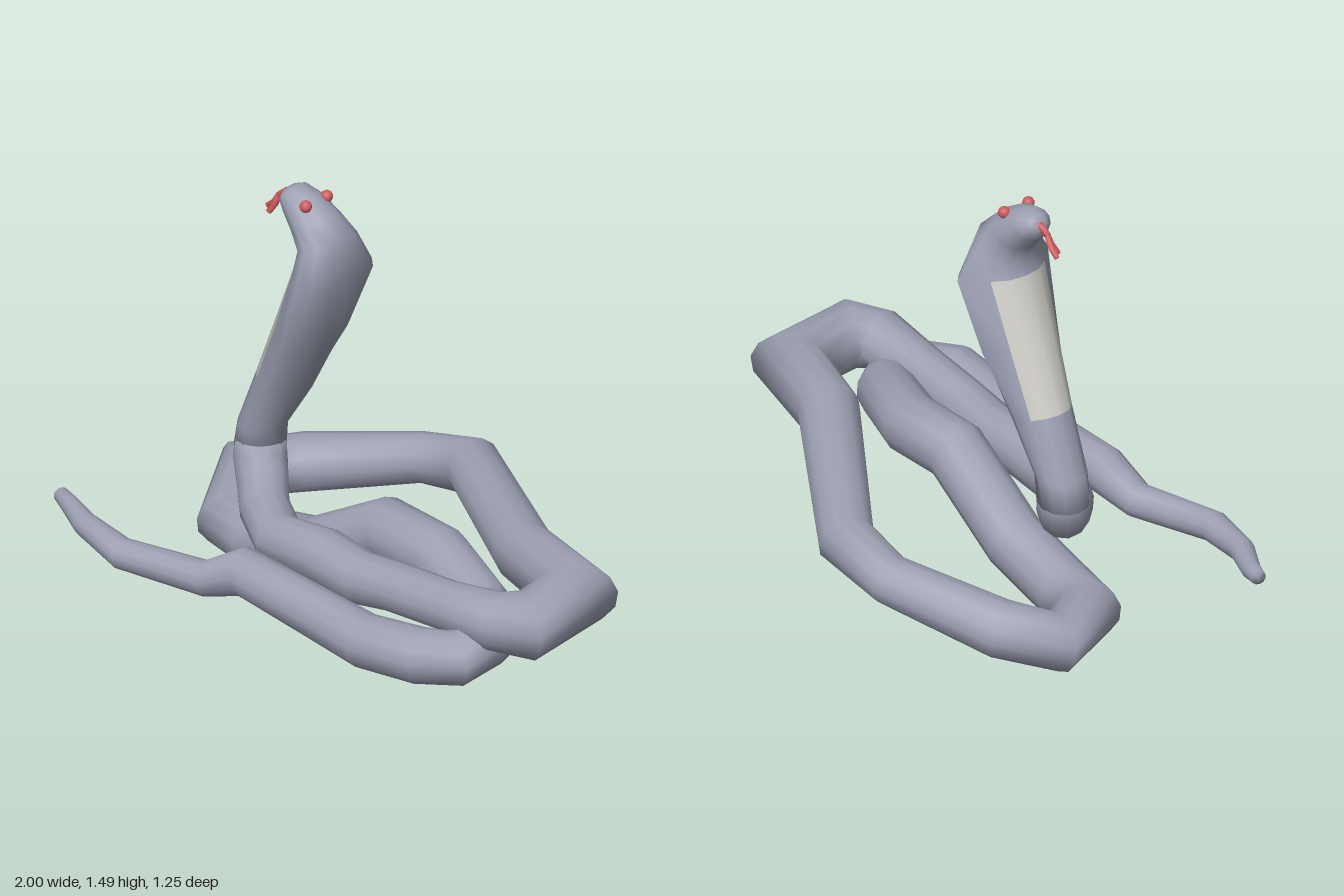
import * as THREE from 'three';

const SIDES = 12;
const MID_Z = 0.035;

// Skins closed rings into a capped tube; faces picked by isBelly go in material group 1.
function loft(rings, isBelly = () => false) {
  const n = rings[0].length;
  const pos = rings.flat().flatMap((p) => [p.x, p.y, p.z]);
  const skin = [], belly = [];
  for (let i = 0; i < rings.length - 1; i++) {
    for (let j = 0; j < n; j++) {
      const a = i * n + j, b = i * n + (j + 1) % n;
      (isBelly(i, j) ? belly : skin).push(a, b, a + n, b, b + n, a + n);
    }
  }
  [0, rings.length - 1].forEach((r, end) => {
    const c = rings[r].reduce((s, p) => s.add(p), new THREE.Vector3()).divideScalar(n);
    const ci = pos.length / 3;
    pos.push(c.x, c.y, c.z);
    for (let j = 0; j < n; j++) {
      const a = r * n + j, b = r * n + (j + 1) % n;
      skin.push(ci, ...(end ? [a, b] : [b, a]));
    }
  });
  const geo = new THREE.BufferGeometry();
  geo.setAttribute('position', new THREE.Float32BufferAttribute(pos, 3));
  geo.setIndex([...skin, ...belly]);
  geo.addGroup(0, skin.length, 0);
  geo.addGroup(skin.length, belly.length, 1);
  geo.computeVertexNormals();
  return geo;
}

// Round rings along a polyline of [x, y, z, radius], mitred at each bend.
function sweep(path, sides = SIDES) {
  const pts = path.map((p) => new THREE.Vector3(p[0], p[1], p[2]));
  const dirs = pts.slice(1).map((p, i) => p.clone().sub(pts[i]).normalize());
  const N = new THREE.Vector3(0, 0, 1);
  if (Math.abs(dirs[0].z) > 0.9) N.set(0, 1, 0);
  N.addScaledVector(dirs[0], -N.dot(dirs[0])).normalize();
  return pts.map((c, i) => {
    const tin = dirs[Math.max(i - 1, 0)], tout = dirs[Math.min(i, dirs.length - 1)];
    const m = tin.clone().add(tout).normalize();
    const B = tin.clone().cross(N);
    const ring = [];
    for (let k = 0; k < sides; k++) {
      const a = (k / sides) * Math.PI * 2;
      const o = N.clone().multiplyScalar(Math.cos(a)).addScaledVector(B, Math.sin(a)).multiplyScalar(path[i][3]);
      o.addScaledVector(tin, -o.dot(m) / tin.dot(m));
      ring.push(o.add(c));
    }
    N.applyQuaternion(new THREE.Quaternion().setFromUnitVectors(tin, tout));
    return ring;
  });
}

// Coiled body from the base of the neck to the tail tip: x, y, z, radius
const COIL = [
  [-0.475, 0.5, 0.035, 0.085], [-0.47, 0.43, 0.045, 0.092], [-0.42, 0.365, 0.085, 0.088],
  [-0.33, 0.33, 0.17, 0.085], [-0.19, 0.3, 0.25, 0.085], [0.03, 0.32, 0.26, 0.095],
  [0.2, 0.305, 0.265, 0.09], [0.35, 0.33, 0.265, 0.085], [0.6, 0.35, 0.265, 0.085],
  [0.8, 0.365, 0.255, 0.1], [0.89, 0.36, 0.2, 0.112],
  // back loop
  [0.86, 0.36, -0.07, 0.112], [0.54, 0.365, -0.155, 0.105], [-0.06, 0.31, -0.54, 0.095],
  [-0.28, 0.265, -0.53, 0.085], [-0.64, 0.185, -0.35, 0.1], [-0.785, 0.155, -0.22, 0.095],
  [-0.64, 0.115, 0.015, 0.1], [-0.5, 0.11, 0.035, 0.105],
  // middle run, climbing then passing under the first run
  [-0.22, 0.17, 0.035, 0.105], [0.1, 0.36, 0.035, 0.105], [0.34, 0.345, 0.035, 0.105],
  [0.6, 0.31, 0.13, 0.1], [0.72, 0.25, 0.24, 0.095], [0.73, 0.245, 0.37, 0.09],
  // tail
  [0.63, 0.245, 0.44, 0.095], [0.4, 0.22, 0.455, 0.092], [0.2, 0.235, 0.45, 0.087],
  [-0.16, 0.265, 0.445, 0.08], [-0.3, 0.2, 0.48, 0.06], [-0.6, 0.215, 0.565, 0.053],
  [-0.8, 0.235, 0.53, 0.042], [-0.92, 0.24, 0.475, 0.033], [-0.985, 0.25, 0.455, 0.026],
];

// Neck, hood and head rings: front x, y, back x, y, half width, hood amount
const NECK = [
  [-0.57, 0.45, -0.39, 0.46, 0.088, 0], [-0.55, 0.55, -0.385, 0.56, 0.09, 0],
  [-0.46, 0.775, -0.285, 0.72, 0.108, 0.3], [-0.37, 1.0, -0.18, 0.95, 0.155, 0.9],
  [-0.28, 1.225, -0.09, 1.2, 0.186, 1], [-0.27, 1.29, -0.095, 1.365, 0.112, 0.3],
  [-0.3, 1.345, -0.16, 1.43, 0.09, 0], [-0.345, 1.395, -0.235, 1.48, 0.072, 0],
  [-0.365, 1.425, -0.3, 1.498, 0.055, 0], [-0.362, 1.45, -0.335, 1.485, 0.03, 0],
];
// Hood outline, front to back: depth share, width share
const HOOD = [[0, 0], [0.06, 0.33], [0.25, 0.6], [0.68, 1], [0.88, 0.82], [0.98, 0.45], [1, 0]];

function neckRing([fx, fy, bx, by, w, hood]) {
  const ring = [];
  for (let k = 0; k < SIDES; k++) {
    const h = Math.min(k, SIDES - k), a = (h / SIDES) * Math.PI * 2;
    const u = THREE.MathUtils.lerp((1 - Math.cos(a)) / 2, HOOD[h][0], hood);
    const s = THREE.MathUtils.lerp(Math.sin(a), HOOD[h][1], hood) * (k > SIDES / 2 ? -1 : 1);
    ring.push(new THREE.Vector3(fx + (bx - fx) * u, fy + (by - fy) * u, MID_Z + w * s));
  }
  return ring;
}

export function createModel() {
  const group = new THREE.Group();
  const mat = (name, color) => Object.assign(new THREE.MeshStandardMaterial({ color }), { name });
  const skin = mat('greySkin', 0x9ca0b2);
  const cream = mat('creamBelly', 0xcfcdc6);
  const red = mat('red', 0xd15c5e);
  const add = (name, geo, material) => {
    const mesh = new THREE.Mesh(geo, material);
    mesh.name = name;
    group.add(mesh);
    return mesh;
  };

  add('coiledBody', loft(sweep(COIL)), [skin, cream]);

  // The belly patch runs down the front of the hood
  const onBelly = (i, j) => (i === 2 || i === 3) && (j < 2 || j >= SIDES - 2);
  add('hoodAndHead', loft(NECK.map(neckRing), onBelly), [skin, cream]);

  for (const side of [1, -1]) {
    add(side > 0 ? 'leftEye' : 'rightEye', new THREE.SphereGeometry(0.021, 12, 8), red)
      .position.set(-0.225, 1.462, MID_Z + side * 0.05);
  }

  // Forked tongue
  const fork = [-0.385, 1.43, 0.042];
  const tongue = (name, path) => add(name, loft(sweep(path, 6)), [red, red]);
  tongue('tongue', [[-0.33, 1.457, 0.035, 0.013], [-0.36, 1.452, 0.037, 0.013], [...fork, 0.013]]);
  tongue('tongueForkRight', [[...fork, 0.012], [-0.41, 1.395, 0.038, 0.011], [-0.44, 1.37, 0.04, 0.01]]);
  tongue('tongueForkLeft', [[...fork, 0.012], [-0.397, 1.395, 0.052, 0.011], [-0.412, 1.365, 0.066, 0.01]]);

  return group;
}
